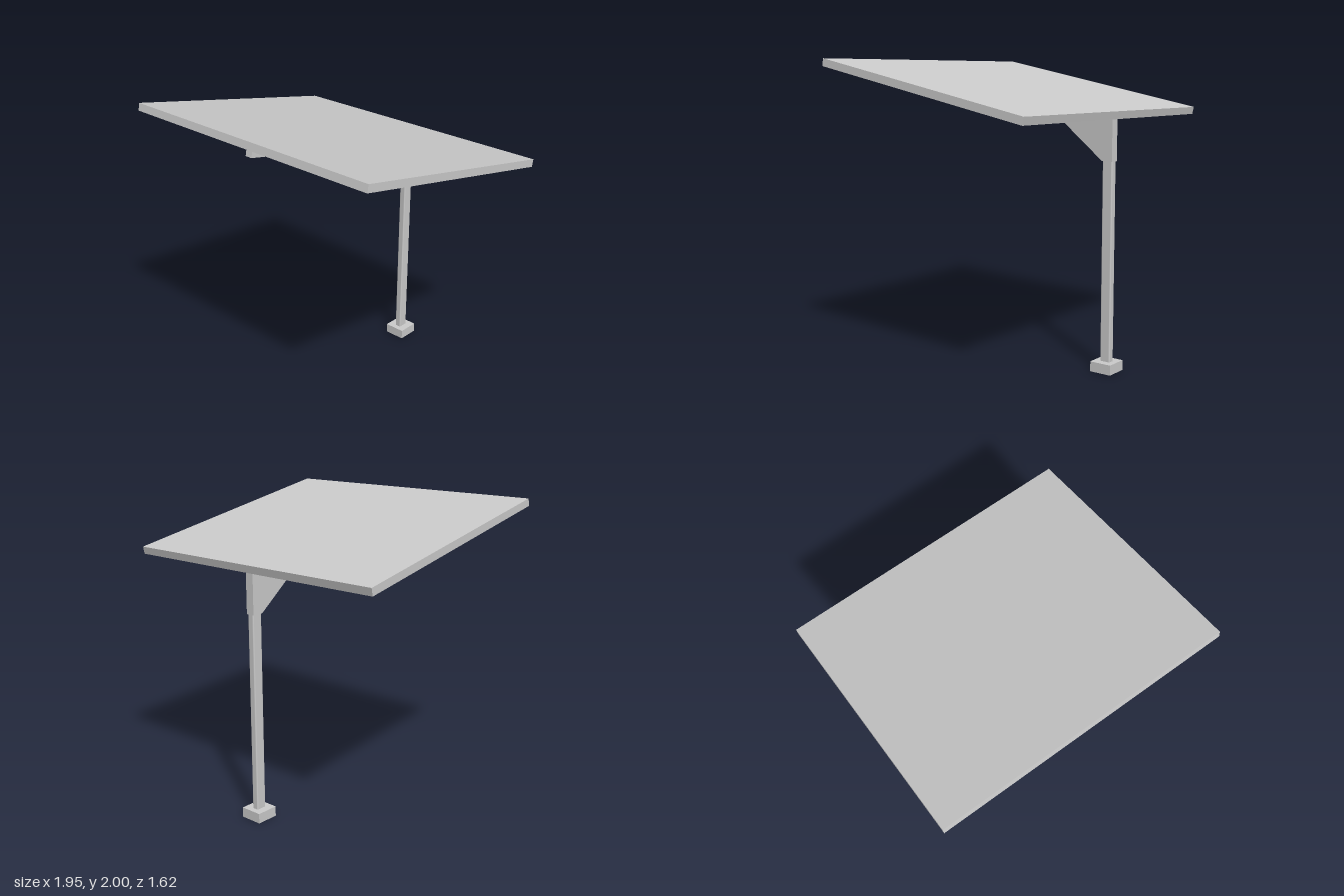
import * as THREE from 'three';
import { RoundedBoxGeometry } from 'three/addons/geometries/RoundedBoxGeometry.js';

const WIDTH = 1.95, LENGTH = 1.643, THICK = 0.05, TILT = 0.2;

export function createModel() {
  const model = new THREE.Group();
  const grey = new THREE.MeshStandardMaterial({ color: 0xcccccc });
  const greyDouble = new THREE.MeshStandardMaterial({ color: 0xcccccc, side: THREE.DoubleSide });

  function add(parent, name, geometry, x, y, z, material = grey) {
    const mesh = new THREE.Mesh(geometry, material);
    mesh.name = name;
    mesh.position.set(x, y, z);
    parent.add(mesh);
    return mesh;
  }
  const box = (w, h, d) => new THREE.BoxGeometry(w, h, d);

  // Footing: a shallow cap, open underneath
  const footing = box(0.15, 0.066, 0.15);
  const faces = Array.from(footing.index.array);
  faces.splice(18, 6); // drop the bottom face
  footing.setIndex(faces);
  add(model, 'footing', footing, 0, 0.033, -0.737, greyDouble);

  // Post
  add(model, 'post', new RoundedBoxGeometry(0.046, 1.42, 0.072, 3, 0.008), 0, 0.76, -0.737);

  // Gusset joining post and arm, drawn in (z, y) and extruded across x
  const profile = new THREE.Shape([
    [-0.775, 1.36], [-0.702, 1.36], [-0.345, 1.645], [-0.362, 1.735], [-0.775, 1.65],
  ].map(([z, y]) => new THREE.Vector2(z, y)));
  const gusset = new THREE.ExtrudeGeometry(profile, { depth: 0.058, bevelEnabled: false });
  gusset.translate(0, 0, -0.029).rotateY(-Math.PI / 2);
  add(model, 'gusset', gusset, 0, 0, 0);

  // Tilted roof: front edge raised
  const roof = new THREE.Group();
  roof.name = 'roof';
  roof.position.y = 1.8125;
  roof.rotation.x = -TILT;
  model.add(roof);

  add(roof, 'roofPanel', box(WIDTH, 0.012, LENGTH), 0, THICK / 2 - 0.006, 0);

  // Rim around the panel
  for (const s of [-1, 1]) {
    add(roof, 'sideRim', box(0.015, THICK, LENGTH), s * (WIDTH / 2 - 0.0075), 0, 0);
    add(roof, 'endRim', box(WIDTH, THICK, 0.015), 0, 0, s * (LENGTH / 2 - 0.0075));
  }

  // Purlins under the panel
  const count = 7, pitch = LENGTH / (count + 1);
  for (let i = 1; i <= count; i++) {
    add(roof, 'purlin', box(WIDTH - 0.03, 0.03, 0.045), 0, 0, -LENGTH / 2 + i * pitch);
  }

  // Cantilever arm
  add(roof, 'arm', box(0.05, 0.088, 1.22), 0, -0.044, 0.138);

  return model;
}
